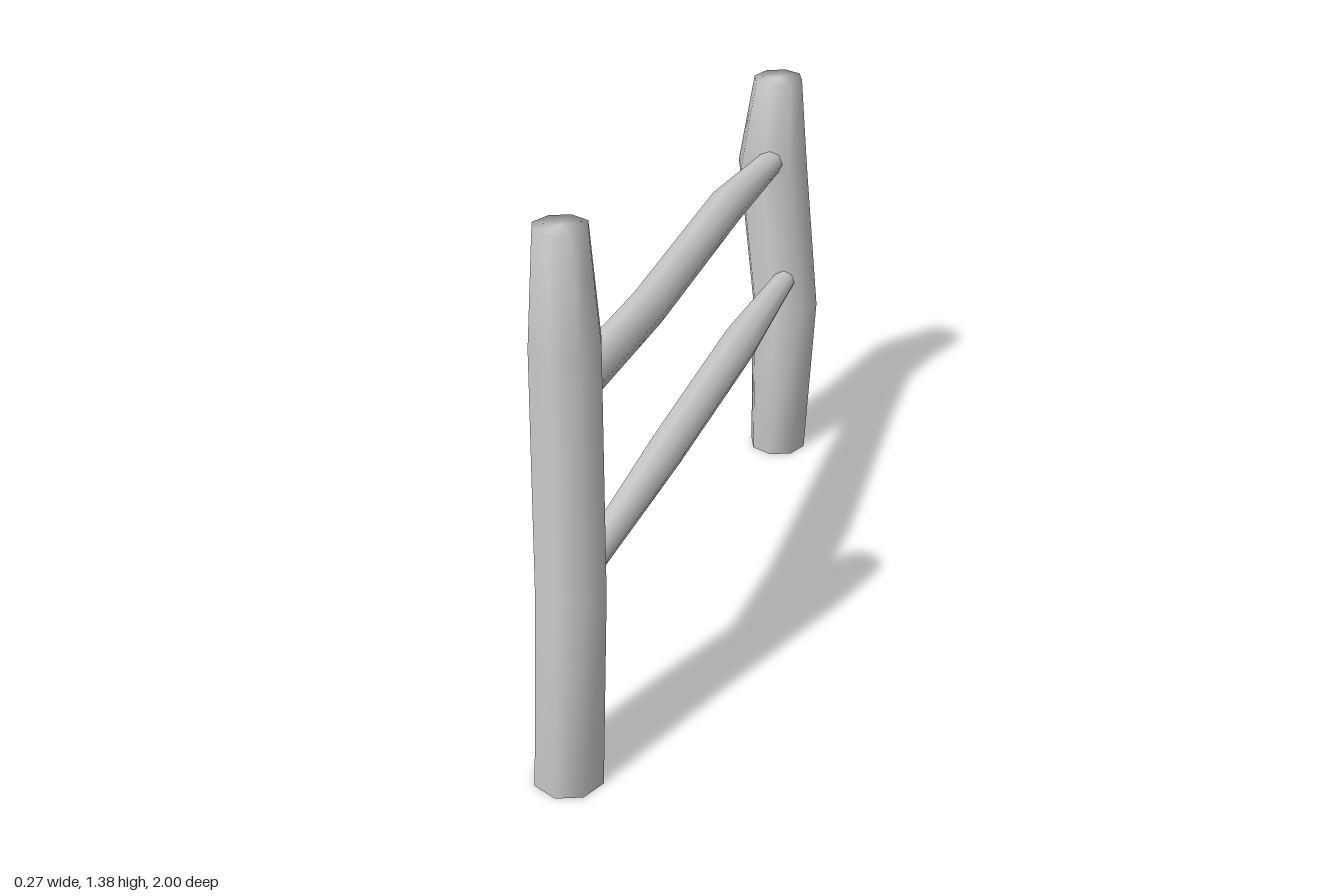
import * as THREE from 'three';

const SIDES = 8;
const X = new THREE.Vector3(1, 0, 0);
const Y = new THREE.Vector3(0, 1, 0);
const Z = new THREE.Vector3(0, 0, 1);

// Closed log lofted through rings [x, y, z, radius, tilt]; u and v span each ring
function log(name, rings, u, v, material) {
  const pos = [], index = [];
  for (const [x, y, z, r, tilt = 0] of rings) {
    for (let j = 0; j < SIDES; j++) {
      const a = (j / SIDES) * Math.PI * 2;
      const p = new THREE.Vector3().addScaledVector(u, r * Math.cos(a)).addScaledVector(v, r * Math.sin(a));
      pos.push(x + p.x, y + p.y + tilt * p.z, z + p.z);
    }
  }
  const last = (rings.length - 1) * SIDES;
  const start = rings.length * SIDES, end = start + 1;
  pos.push(...rings[0].slice(0, 3), ...rings[rings.length - 1].slice(0, 3));
  for (let j = 0; j < SIDES; j++) {
    const k = (j + 1) % SIDES;
    for (let i = 0; i < last; i += SIDES) {
      index.push(i + j, i + k, i + SIDES + k, i + j, i + SIDES + k, i + SIDES + j);
    }
    // end caps share the rim so the edges shade softly
    index.push(start, k, j, end, last + j, last + k);
  }
  const geometry = new THREE.BufferGeometry();
  geometry.setAttribute('position', new THREE.Float32BufferAttribute(pos, 3));
  geometry.setIndex(index);
  geometry.computeVertexNormals();
  const mesh = new THREE.Mesh(geometry, material);
  mesh.name = name;
  return mesh;
}

export function createModel() {
  const group = new THREE.Group();
  group.name = 'fence';
  const wood = new THREE.MeshStandardMaterial({ color: 0xcccccc });

  // Upright posts, bottom to top
  const post = (name, rings) => group.add(log(name, rings, Z, X, wood));
  post('frontPost', [
    [0.027, 0, 0.912, 0.088],
    [0.027, 0.5, 0.865, 0.087],
    [0.027, 1.11, 0.853, 0.084],
    [0.027, 1.375, 0.857, 0.063, -0.02],
  ]);
  post('backPost', [
    [0.027, 0, -0.833, 0.088],
    [0.027, 0.49, -0.87, 0.104],
    [-0.028, 0.93, -0.891, 0.108],
    [-0.01, 1.204, -0.866, 0.073, -0.07],
  ]);

  // Crooked rails, back to front
  const rail = (name, rings) => group.add(log(name, rings, X, Y, wood));
  rail('upperRail', [
    [-0.01, 0.96, -0.8, 0.038],
    [-0.016, 0.966, -0.39, 0.053],
    [0.027, 0.978, 0.35, 0.049],
    [0.03, 0.983, 0.79, 0.048],
  ]);
  rail('lowerRail', [
    [0.045, 0.588, -0.79, 0.034],
    [0.063, 0.605, -0.28, 0.053],
    [0.077, 0.603, 0.36, 0.048],
    [0.06, 0.555, 0.8, 0.036, 0.1],
  ]);
  return group;
}
